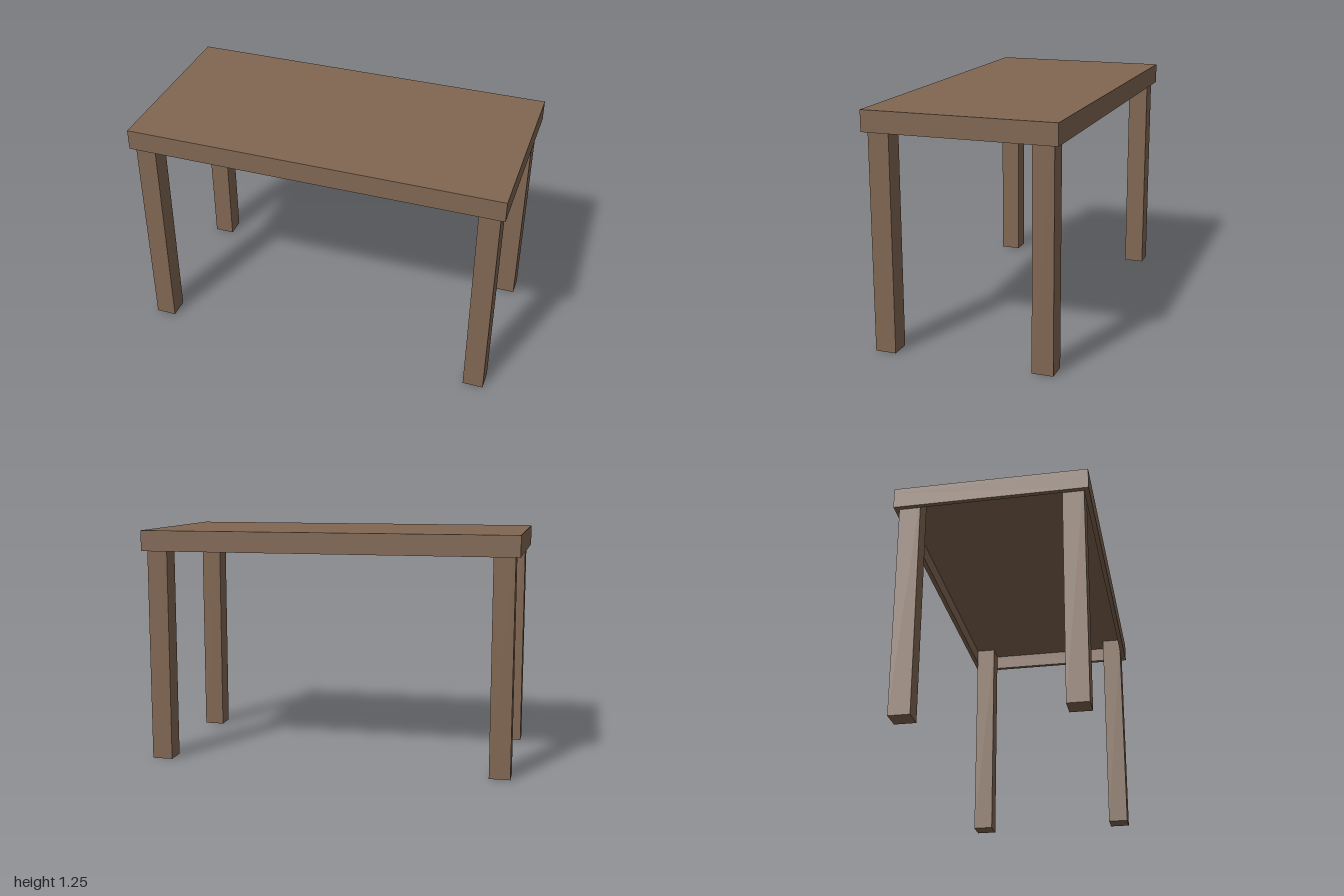
import * as THREE from 'three';

const WIDTH = 2, DEPTH = 1, HEIGHT = 1.25;
const APRON = 0.11;   // full height of the table top edge
const PANEL = 0.025;  // thickness of the top panel
const RIM = 0.025;    // wall thickness of the rim under the panel
const LEG = 0.11;

export function createModel() {
  const table = new THREE.Group();
  table.name = 'table';
  const wood = new THREE.MeshStandardMaterial({ color: 0x806652 });
  wood.name = 'brown wood';

  const add = (name, geometry, x, y, z) => {
    const mesh = new THREE.Mesh(geometry, wood);
    mesh.name = name;
    mesh.position.set(x, y, z);
    table.add(mesh);
    return mesh;
  };

  // Top panel
  add('topPanel', new THREE.BoxGeometry(WIDTH, PANEL, DEPTH), 0, HEIGHT - PANEL / 2, 0);

  // Hollow rim hanging below the panel
  const rectangle = (path, w, d) => path
    .moveTo(-w / 2, -d / 2).lineTo(w / 2, -d / 2)
    .lineTo(w / 2, d / 2).lineTo(-w / 2, d / 2).closePath();
  const outline = new THREE.Shape();
  rectangle(outline, WIDTH, DEPTH);
  const opening = new THREE.Path();
  rectangle(opening, WIDTH - 2 * RIM, DEPTH - 2 * RIM);
  outline.holes.push(opening);
  const rim = new THREE.ExtrudeGeometry(outline, { depth: APRON - PANEL, bevelEnabled: false });
  rim.rotateX(-Math.PI / 2);
  add('rim', rim, 0, HEIGHT - APRON, 0);

  // Square legs in the inner corners of the rim, reaching up to the panel
  const legHeight = HEIGHT - PANEL;
  const legGeometry = new THREE.BoxGeometry(LEG, legHeight, LEG);
  for (const [side, sx] of [['Left', 1], ['Right', -1]]) {
    for (const [end, sz] of [['front', 1], ['back', -1]]) {
      add(`${end}${side}Leg`, legGeometry,
        sx * (WIDTH / 2 - RIM - LEG / 2), legHeight / 2, sz * (DEPTH / 2 - RIM - LEG / 2));
    }
  }
  return table;
}
